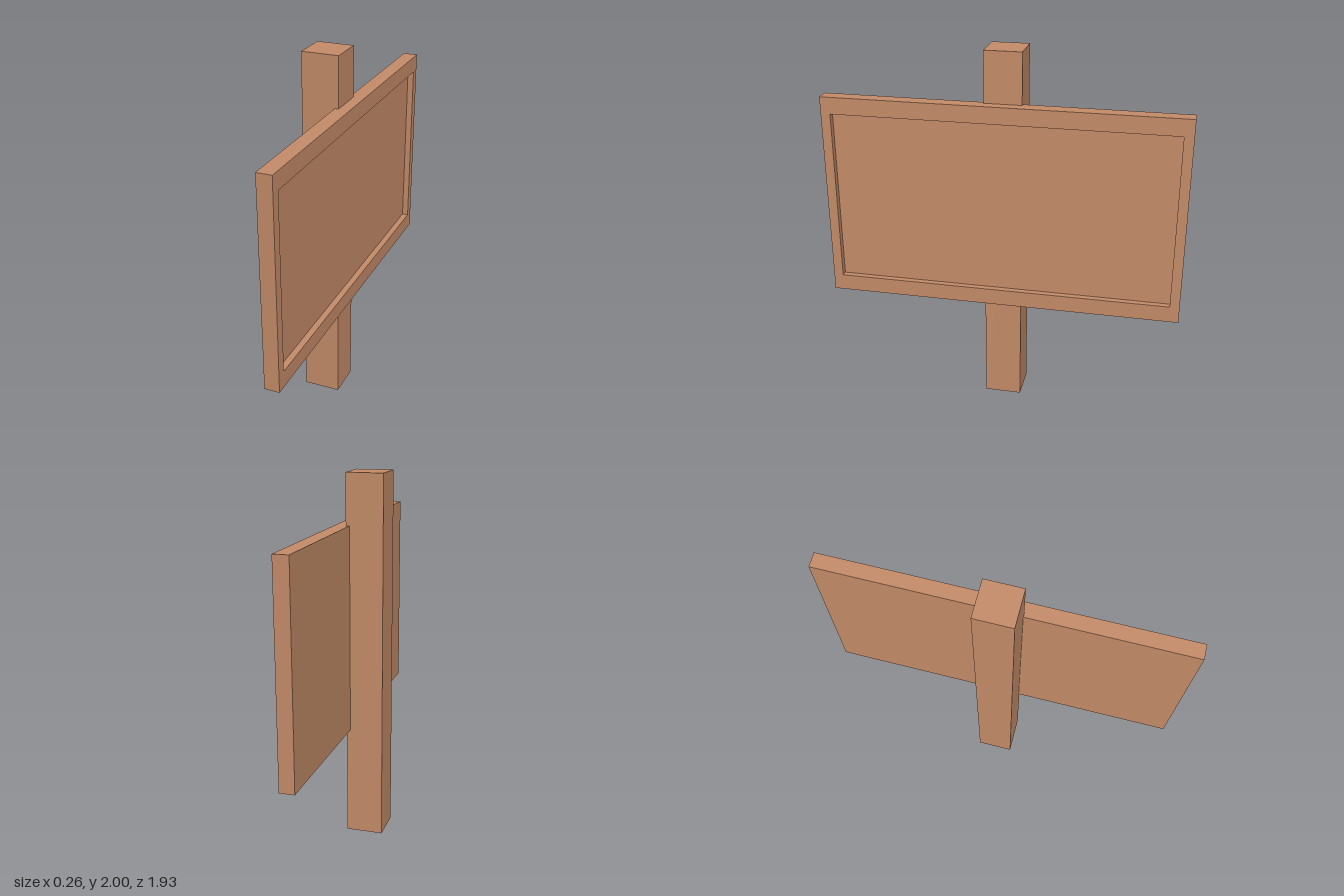
import * as THREE from 'three';
import { mergeGeometries } from 'three/addons/utils/BufferGeometryUtils.js';

const BOARD = { back: 0.05, front: 0.13, bottom: 0.605, top: 1.728, halfWidth: 0.965 };
const RECESS = { floor: 0.096, bottom: 0.694, top: 1.637, halfWidth: 0.913 };

// Box spanning x0..x1, y0..y1 and -halfZ..halfZ
function spanBox(x0, x1, y0, y1, halfZ) {
  return new THREE.BoxGeometry(x1 - x0, y1 - y0, halfZ * 2)
    .translate((x0 + x1) / 2, (y0 + y1) / 2, 0);
}

// Drop one side of a box (0 = +x, 1 = -x)
function openSide(box, side) {
  const index = Array.from(box.index.array);
  index.splice(side * 6, 6);
  box.setIndex(index);
  box.clearGroups();
  return box;
}

function rectangle(path, halfW, y0, y1) {
  path.moveTo(-halfW, y0);
  path.lineTo(halfW, y0);
  path.lineTo(halfW, y1);
  path.lineTo(-halfW, y1);
  path.closePath();
  return path;
}

// Sign board: outer shell, front rim and sunken panel as one continuous surface
function boardGeometry() {
  const shell = openSide(
    spanBox(BOARD.back, BOARD.front, BOARD.bottom, BOARD.top, BOARD.halfWidth), 0);

  const rimShape = rectangle(new THREE.Shape(), BOARD.halfWidth, BOARD.bottom, BOARD.top);
  rimShape.holes.push(rectangle(new THREE.Path(), RECESS.halfWidth, RECESS.bottom, RECESS.top));
  const rim = new THREE.ShapeGeometry(rimShape)
    .rotateY(Math.PI / 2).translate(BOARD.front, 0, 0);

  // Mirroring the box turns its faces inward
  const recess = openSide(
    spanBox(-BOARD.front, -RECESS.floor, RECESS.bottom, RECESS.top, RECESS.halfWidth), 1)
    .scale(-1, 1, 1);
  recess.computeVertexNormals();

  return mergeGeometries([shell, rim, recess]);
}

export function createModel() {
  const wood = new THREE.MeshStandardMaterial({ name: 'wood', color: 0xc68d69 });
  const model = new THREE.Group();
  model.name = 'signpost';

  const post = new THREE.Mesh(spanBox(-0.13, 0.07, 0, 2, 0.1), wood);
  post.name = 'post';

  const board = new THREE.Mesh(boardGeometry(), wood);
  board.name = 'signBoard';

  model.add(post, board);
  return model;
}
